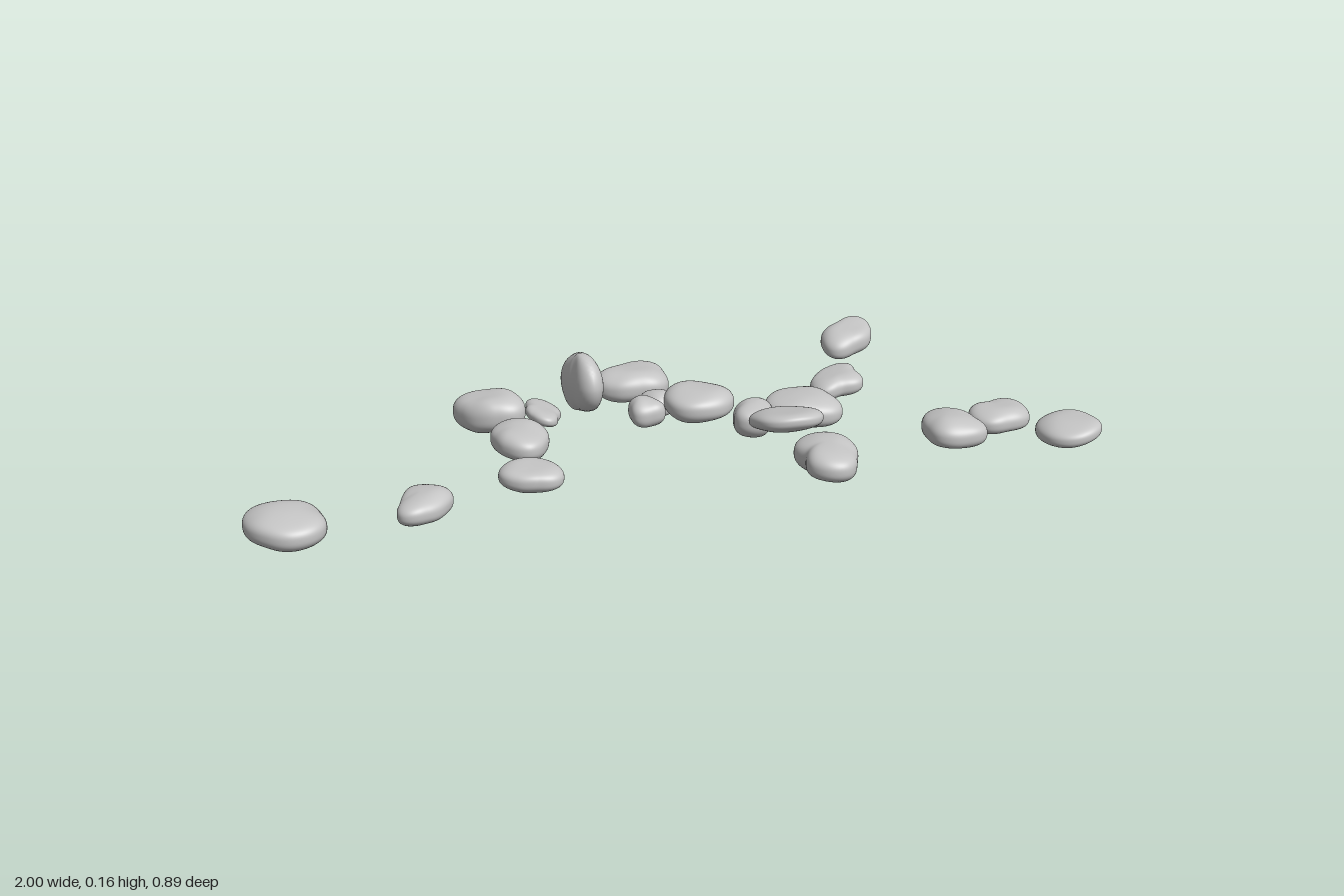
import * as THREE from 'three';
import { mergeVertices } from 'three/addons/utils/BufferGeometryUtils.js';

const stoneGrey = new THREE.MeshStandardMaterial({ color: 0xc4c4c4 });
stoneGrey.name = 'stoneGrey';

// Smooth closed outline through eight radii, running from +x towards +z
function outlineRadius(radii, angle) {
  const t = ((angle / (Math.PI / 4)) % 8 + 8) % 8;
  const i = Math.floor(t), f = t - i;
  const [a, b, c, d] = [7, 0, 1, 2].map((k) => radii[(i + k) % 8]);
  return b + 0.5 * f * (c - a + f * (2 * a - 5 * b + 4 * c - d + f * (3 * (b - c) + d - a)));
}

// One water-worn stone: a flattened ball with its own outline, tilt, blunt sides and soft dents
function makeStone(name, seed, [x, z], [low, high], radii, [tiltX, tiltZ] = [0, 0], sidePower = 0.78) {
  const ball = new THREE.IcosahedronGeometry(1, 12);
  ball.deleteAttribute('normal');
  ball.deleteAttribute('uv');
  const geometry = mergeVertices(ball, 1e-4);
  const p = geometry.attributes.position;
  for (let i = 0; i < p.count; i++) {
    const px = p.getX(i), py = p.getY(i), pz = p.getZ(i);
    const h = Math.pow(Math.hypot(px, pz), 0.8);
    const a = Math.atan2(pz, px);
    const r = h * outlineRadius(radii, a) / 100;
    const dx = r * Math.cos(a), dz = r * Math.sin(a);
    const dent = 0.1 * Math.sin(3 * px + seed * 1.7) * Math.sin(3.3 * pz + seed * 2.3) * (1 - h * h * 0.4);
    const level = Math.sign(py) * Math.pow(Math.abs(py), sidePower) * 0.97;
    const y = (low + high) / 2 + (high - low) / 2 * (level + dent);
    p.setXYZ(i, dx, y + tiltX * dx + tiltZ * dz, dz);
  }
  geometry.computeVertexNormals();
  const mesh = new THREE.Mesh(geometry, stoneGrey);
  mesh.name = name;
  mesh.position.set(x, 0, z);
  return mesh;
}

export function createModel() {
  const group = new THREE.Group();
  group.name = 'scatteredStones';
  let seed = 0;
  const add = (name, ...shape) => group.add(makeStone(name, ++seed, ...shape));

  // Loose stones on the right-hand side
  add('farRightStone', [-0.91, 0.29], [0.005, 0.082], [8.3, 9.6, 9, 8, 8.5, 9.8, 9, 9]);
  add('knobblyStone', [-0.61, 0.28], [0.012, 0.075], [6.8, 6, 6.5, 8.3, 5.3, 5.2, 7.3, 7], [0.06, 0]);
  add('flatStone', [-0.345, 0.198], [0.01, 0.07], [7, 8, 6, 6, 7, 7, 6.3, 7]);
  add('ovalStone', [-0.31, 0], [0.008, 0.083], [6.7, 7.2, 9, 7.3, 6.3, 7.6, 8.5, 7.3]);

  // Back row
  add('backCornerStone', [-0.34, -0.165], [0.012, 0.106], [7.5, 9.5, 7, 6, 6.5, 9.3, 7, 6.8], [0.12, 0]);
  add('narrowStone', [-0.205, -0.175], [0.012, 0.053], [4.8, 4.5, 7.3, 5, 4, 4.2, 7.8, 6], [-0.2, 0]);
  add('uprightStone', [-0.09, -0.215], [0.006, 0.16], [4.2, 5.3, 10, 4.5, 3.6, 5, 10.3, 5], [0, 0.12], 1.1);
  add('backSlab', [0.05, -0.265], [0.006, 0.09], [9.3, 9.8, 7.5, 8, 9, 6.7, 7, 10.8]);

  // Middle cluster
  add('smallPebble', [0.025, -0.075], [0.01, 0.08], [4.2, 5, 4.5, 5, 4, 4.5, 5, 4]);
  add('tinyPebble', [0.075, -0.13], [0.01, 0.07], [4, 4.5, 4.5, 4, 4, 4.5, 4.8, 4.5]);
  add('roundStone', [0.155, -0.07], [0.015, 0.094], [8.8, 8.8, 8, 8.3, 8, 8.3, 9, 8.5]);
  add('leaningStone', [0.24, 0.078], [0.015, 0.1], [5.2, 4.8, 6.8, 7.3, 5, 5, 6, 7.3], [0, 0.13]);
  add('broadStone', [0.385, 0.025], [0.006, 0.084], [8.6, 10.4, 8, 8, 9, 8.5, 8.2, 9.3]);

  // Stacked pair
  add('upperStackedStone', [0.257, 0.232], [0.082, 0.135], [8, 8.8, 8, 8, 7.8, 8.8, 8, 8], [0, 0.23]);
  add('lowerStackedStone', [0.32, 0.335], [0.006, 0.087], [7, 7, 10.2, 9.2, 5.8, 8.5, 10, 8.5]);

  // Loose stones on the left-hand side
  add('wedgeStone', [0.525, -0.1], [0.016, 0.077], [6.3, 7.8, 6, 7.8, 6, 5.2, 6, 8.5], [0.16, 0]);
  add('farBackStone', [0.69, -0.383], [0.014, 0.086], [7, 6.2, 6, 8.3, 7, 6.2, 5.8, 8.8], [0.13, -0.12]);
  add('tallOvalStone', [0.663, 0.27], [0.008, 0.083], [6.8, 8.7, 7.8, 7.8, 6.5, 7.3, 9, 7.2]);
  add('notchedStone', [0.807, 0.227], [0.01, 0.074], [7.8, 7.5, 6.5, 7.8, 7.3, 6.4, 5.4, 8.8]);
  add('farLeftStone', [0.925, 0.348], [0.012, 0.069], [7.4, 8.3, 8, 7.5, 7, 7.3, 7.5, 7.7], [0.13, 0]);
  return group;
}
